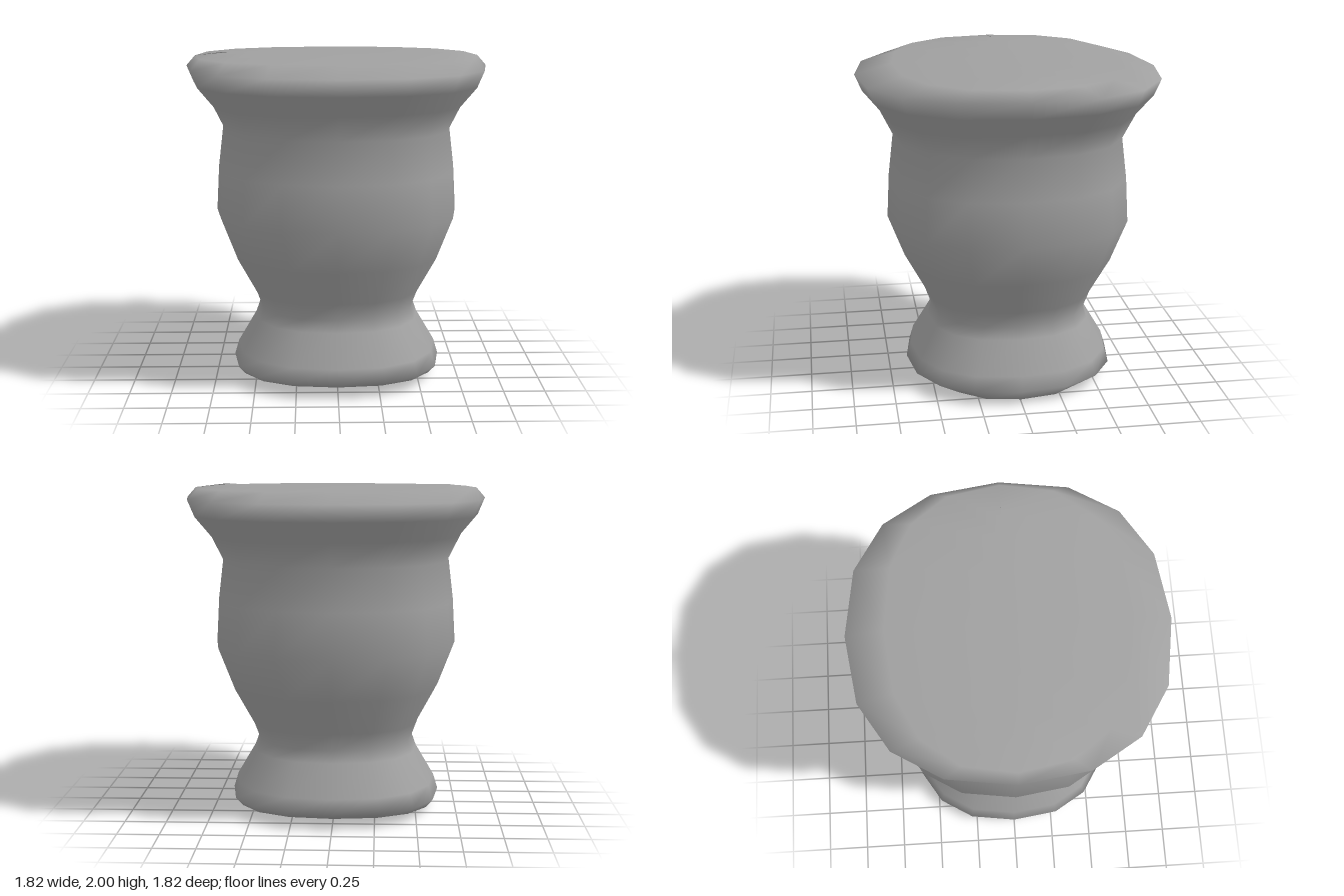
import * as THREE from 'three';
import { mergeVertices } from 'three/addons/utils/BufferGeometryUtils.js';

// One quarter of the rounded, slightly square cross-section (unit half-width)
const QUARTER = [[1, 0], [0.937, 0.438], [0.747, 0.747], [0.438, 0.937]];
const SIDES = 16;

function outline() {
  const pts = [];
  for (let q = 0; q < 4; q++) {
    for (const [x, z] of QUARTER) {
      if (q === 0) pts.push([x, z]);
      else if (q === 1) pts.push([-z, x]);
      else if (q === 2) pts.push([-x, -z]);
      else pts.push([z, -x]);
    }
  }
  return pts;
}

// Rings from bottom to top: [half-width x, half-width z, y].
// A ring with zero z closes an end along a ridge.
const RINGS = [
  [0.48, 0, 0], [0.605, 0.485, 0.025], [0.644, 0.644, 0.09],  // foot
  [0.617, 0.617, 0.18], [0.505, 0.505, 0.37], [0.48, 0.48, 0.44], // waist
  [0.52, 0.52, 0.55], [0.64, 0.64, 0.77], [0.74, 0.74, 1.03], // belly
  [0.725, 0.725, 1.3], [0.695, 0.695, 1.55], [0.77, 0.77, 1.7], // neck
  [0.87, 0.87, 1.82], [0.912, 0.912, 1.92],                   // rim
  [0.86, 0.69, 1.98], [0.69, 0, 2],                           // lid
];

function loft(rings) {
  const shape = outline();
  const pos = [], index = [];
  for (const [rx, rz, y] of rings) {
    for (const [x, z] of shape) pos.push(x * rx, y, z * rz);
  }
  for (let r = 0; r < rings.length - 1; r++) {
    for (let i = 0; i < SIDES; i++) {
      const j = (i + 1) % SIDES;
      const a = r * SIDES + i, b = r * SIDES + j;
      const c = a + SIDES, d = b + SIDES;
      index.push(a, c, b, b, c, d);
    }
  }
  const geo = new THREE.BufferGeometry();
  geo.setAttribute('position', new THREE.Float32BufferAttribute(pos, 3));
  geo.setIndex(index);
  // Weld the two sides of each ridge so the ends shade smoothly
  const welded = mergeVertices(geo);
  welded.computeVertexNormals();
  return welded;
}

export function createModel() {
  const group = new THREE.Group();
  group.name = 'urn';
  const material = new THREE.MeshStandardMaterial({ color: 0xa0a0a0 });
  const body = new THREE.Mesh(loft(RINGS), material);
  body.name = 'urnBody';
  group.add(body);
  return group;
}
